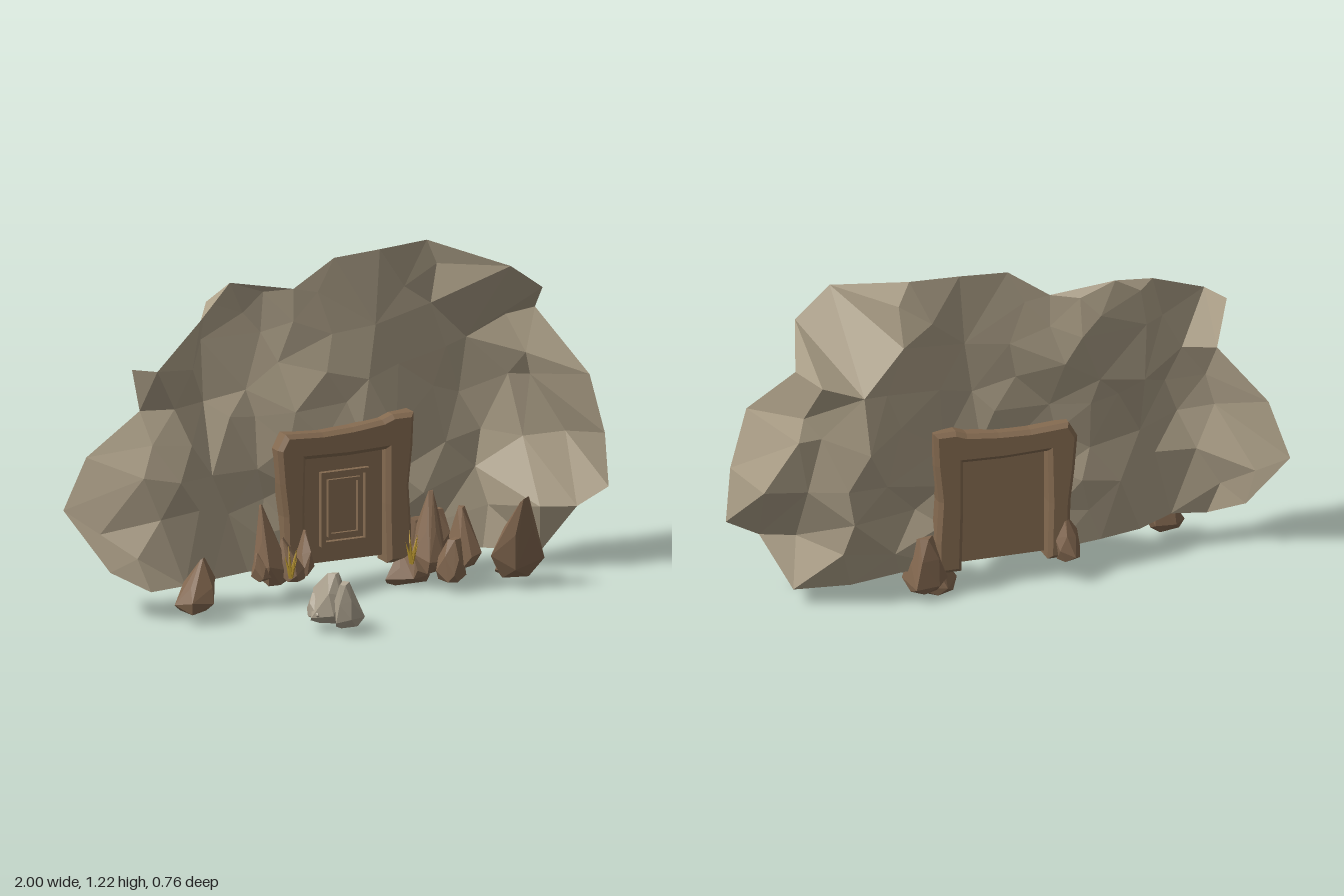
import * as THREE from 'three';
import { ConvexGeometry } from 'three/addons/geometries/ConvexGeometry.js';

const material = (name, color, extra = {}) =>
  Object.assign(new THREE.MeshStandardMaterial({ color, flatShading: true, ...extra }), { name });

// Small seeded generator, returns values in -1..1
function seeded(s) {
  return () => {
    s = (s * 1664525 + 1013904223) >>> 0;
    return (s / 4294967296) * 2 - 1;
  };
}

// Edge of the cliff (x, y, z), clockwise, with a notch for the doorway
const EDGE = [
  [-1, 0.38, -0.35], [-0.94, 0.58, -0.29], [-0.79, 0.76, -0.17], [-0.84, 0.925, -0.13], [-0.79, 0.935, -0.03],
  [-0.55, 1.06, -0.17], [-0.36, 1.14, -0.32], [-0.13, 1.1, -0.28], [0.02, 1.2, -0.26], [0.2, 1.21, -0.26],
  [0.39, 1.22, -0.27], [0.61, 1.15, -0.05], [0.75, 1.05, -0.08], [0.81, 0.93, -0.26], [0.92, 0.72, -0.05],
  [0.98, 0.5, -0.05], [1, 0.3, -0.06], [0.88, 0.24, -0.07], [0.79, 0.06, -0.18], [0.6, 0.08, -0.25],
  [0.42, 0.1, -0.25], [0.25, 0.1, -0.23], [0.25, 0.25, -0.23], [0.25, 0.4, -0.23], [0.25, 0.55, -0.23],
  [0.11, 0.55, -0.23], [-0.03, 0.55, -0.23], [-0.17, 0.55, -0.23], [-0.17, 0.4, -0.23], [-0.17, 0.25, -0.23],
  [-0.17, 0.1, -0.23], [-0.34, 0.11, -0.22], [-0.5, 0.11, -0.18], [-0.64, 0.12, -0.11], [-0.77, 0.11, -0.12],
  [-0.88, 0.17, -0.22],
];

// Sharp corners of the face: hollows, folds and the curled right side
const CORNERS = [
  [-0.48, 0.95, -0.31], [-0.48, 0.73, -0.29], [-0.3, 1.02, -0.34], [0.42, 0.98, -0.3], [0.74, 0.89, -0.35],
  [0.92, 0.47, -0.24], [0.57, 0.62, -0.38], [0.62, 0.35, -0.35], [0.76, 0.24, -0.12],
];

// Depth of the cliff face at stations across and up
const XS = [-1, -0.8, -0.62, -0.45, -0.25, -0.05, 0.35, 0.5, 0.62, 0.8, 0.9, 1];
const YS = [0.1, 0.4, 0.7, 1.0];
const DEPTH = [
  [-0.32, -0.12, -0.12, -0.2, -0.23, -0.23, -0.23, -0.27, -0.27, -0.18, -0.12, -0.08],
  [-0.35, -0.12, -0.09, -0.22, -0.25, -0.23, -0.23, -0.32, -0.36, -0.25, -0.2, -0.06],
  [-0.3, -0.12, -0.1, -0.26, -0.28, -0.23, -0.24, -0.33, -0.38, -0.31, -0.22, -0.05],
  [-0.2, -0.08, -0.14, -0.3, -0.34, -0.27, -0.27, -0.28, -0.27, -0.26, -0.2, -0.1],
];
function locate(stations, v) {
  let i = 0;
  while (i < stations.length - 2 && v > stations[i + 1]) i++;
  return [i, THREE.MathUtils.clamp((v - stations[i]) / (stations[i + 1] - stations[i]), 0, 1)];
}
function depthAt(x, y) {
  const [i, u] = locate(XS, x), [j, v] = locate(YS, y), { lerp } = THREE.MathUtils;
  return lerp(lerp(DEPTH[j][i], DEPTH[j][i + 1], u), lerp(DEPTH[j + 1][i], DEPTH[j + 1][i + 1], u), v);
}

function insideEdge(x, y) {
  let inside = false;
  EDGE.forEach(([ax, ay], i) => {
    const [bx, by] = EDGE[(i + 1) % EDGE.length];
    if (ay > y !== by > y && x < ax + ((y - ay) / (by - ay)) * (bx - ax)) inside = !inside;
  });
  return inside;
}

// Faceted sheet: scattered points joined into Delaunay triangles, trimmed to the edge
function cliffGeometry() {
  const rnd = seeded(7), fixed = [...EDGE, ...CORNERS], pts = [...fixed];
  for (let row = 0; row < 7; row++) {
    for (let col = 0; col < 13; col++) {
      const x = -0.98 + (col + (row % 2) * 0.5) * 0.16 + rnd() * 0.05;
      const y = 0.19 + row * 0.15 + rnd() * 0.045;
      const clear = fixed.every(([ex, ey]) => Math.hypot(ex - x, ey - y) > 0.085);
      if (clear && insideEdge(x, y)) pts.push([x, y, depthAt(x, y) + rnd() * 0.022]);
    }
  }
  const n = pts.length, index = [];
  const flat = pts.map(([x, y]) => [x + rnd() * 1e-4, y + rnd() * 1e-4]);
  for (let a = 0; a < n; a++) for (let b = a + 1; b < n; b++) for (let c = b + 1; c < n; c++) {
    const [ax, ay] = flat[a], [bx, by] = flat[b], [cx, cy] = flat[c];
    const d = 2 * (ax * (by - cy) + bx * (cy - ay) + cx * (ay - by));
    if (Math.abs(d) < 1e-5) continue;
    if (!insideEdge((ax + bx + cx) / 3, (ay + by + cy) / 3)) continue;
    const A = ax * ax + ay * ay, B = bx * bx + by * by, C = cx * cx + cy * cy;
    const ox = (A * (by - cy) + B * (cy - ay) + C * (ay - by)) / d;
    const oy = (A * (cx - bx) + B * (ax - cx) + C * (bx - ax)) / d;
    const r = Math.hypot(ax - ox, ay - oy) - 1e-9;
    if (flat.every(([x, y], k) => k === a || k === b || k === c || Math.hypot(x - ox, y - oy) >= r))
      index.push(...(d > 0 ? [a, b, c] : [a, c, b]));
  }
  const geo = new THREE.BufferGeometry();
  geo.setAttribute('position', new THREE.Float32BufferAttribute(pts.flat(), 3));
  geo.setIndex(index);
  geo.computeVertexNormals();
  return geo;
}

// Jagged stone: hull of shrinking rough rings that lean towards a peak
function rockGeometry([x, y, z], [w, h, d], [leanX, leanZ], seed, top = 0.15) {
  const rnd = seeded(seed * 977 + 13), pts = [];
  [[0, 0.75], [0.2, 1.05], [0.55, 0.75], [0.97, top]].forEach(([t, r], ring) => {
    for (let i = 0; i < 5; i++) {
      const a = ((i + ring * 0.5) / 5) * Math.PI * 2 + rnd() * 0.35, k = r * (1 + rnd() * 0.18) * 0.5;
      pts.push(new THREE.Vector3(x + Math.cos(a) * w * k + leanX * t,
        y + h * THREE.MathUtils.clamp(t + rnd() * 0.08, 0, 1), z + Math.sin(a) * d * k + leanZ * t));
    }
  });
  return new ConvexGeometry(pts);
}

const polygon = (points) => new THREE.Shape(points.map(([x, y]) => new THREE.Vector2(x, y)));
const rect = (x0, x1, y0, y1) => [[x0, y0], [x1, y0], [x1, y1], [x0, y1]];

export function createModel() {
  const model = new THREE.Group();
  const stone = material('cliff stone', 0xada088, { side: THREE.DoubleSide });
  const grey = material('pale stone', 0xaca28f);
  const brown = material('brown rock', 0x836850);
  const wood = material('door wood', 0x846a50);
  const gold = material('dry grass', 0xb8952f);
  const add = (name, geo, mat, parent = model) => {
    const mesh = new THREE.Mesh(geo, mat);
    mesh.name = name;
    parent.add(mesh);
    return mesh;
  };

  add('cliff', cliffGeometry(), stone);

  // Rough doorway surround
  const surround = polygon([
    [-0.19, 0.1], [-0.195, 0.3], [-0.21, 0.42], [-0.22, 0.54], [-0.195, 0.583], [-0.06, 0.575], [0.06, 0.58],
    [0.18, 0.593], [0.22, 0.608], [0.285, 0.608], [0.28, 0.5], [0.265, 0.36], [0.275, 0.2], [0.275, 0.1],
    [0.21, 0.1], [0.205, 0.3], [0.205, 0.515], [0.04, 0.51], [-0.14, 0.515], [-0.145, 0.3], [-0.14, 0.1]]);
  const surroundGeo = new THREE.ExtrudeGeometry(surround,
    { depth: 0.075, bevelThickness: 0.015, bevelSize: 0.015, bevelSegments: 1 });
  surroundGeo.translate(0, 0, -0.27);
  add('doorSurround', surroundGeo, wood);

  // Door slab with nested mouldings
  const door = new THREE.Group();
  door.name = 'door';
  model.add(door);
  const slab = new THREE.BoxGeometry(0.308, 0.39, 0.03);
  slab.translate(0.035, 0.305, -0.235);
  add('doorSlab', slab, wood, door);
  [[0.095, 0.135, 0.017, 0.022], [0.064, 0.104, 0.012, 0.014]].forEach(([hw, hh, t, depth], i) => {
    const ring = polygon(rect(0.035 - hw, 0.035 + hw, 0.305 - hh, 0.305 + hh));
    ring.holes.push(polygon(rect(0.035 - hw + t, 0.035 + hw - t, 0.305 - hh + t, 0.305 + hh - t)));
    const geo = new THREE.ExtrudeGeometry(ring, { depth, bevelEnabled: false });
    geo.translate(0, 0, -0.221);
    add('doorMoulding' + (i + 1), geo, wood, door);
  });

  // Brown rocks along the foot: base, size, lean, flat top
  [
    [[-0.63, 0.04, -0.045], [0.14, 0.19, 0.12], [0.03, -0.01]],
    [[-0.28, 0.08, -0.14], [0.12, 0.28, 0.1], [-0.03, -0.04]],
    [[-0.33, 0.1, -0.13], [0.07, 0.1, 0.08], [-0.02, 0]],
    [[-0.21, 0.09, -0.12], [0.1, 0.15, 0.09], [-0.03, -0.03]],
    [[-0.16, 0.09, -0.15], [0.06, 0.16, 0.1], [0.02, -0.02]],
    [[-0.2, 0.08, -0.27], [0.12, 0.17, 0.1], [0.01, 0]],
    [[0.28, 0.0, -0.21], [0.18, 0.13, 0.14], [0.02, 0], 0.5],
    [[0.33, 0.03, -0.26], [0.15, 0.2, 0.14], [0, 0], 0.4],
    [[0.32, 0.06, -0.11], [0.12, 0.28, 0.12], [0.03, -0.05]],
    [[0.37, 0.04, -0.04], [0.12, 0.15, 0.12], [0.01, 0], 0.4],
    [[0.43, 0.08, -0.05], [0.11, 0.21, 0.13], [0, -0.03], 0.3],
    [[0.38, 0.07, -0.17], [0.13, 0.2, 0.13], [0, 0], 0.3],
    [[0.61, 0.035, -0.03], [0.18, 0.315, 0.14], [-0.02, 0.13], 0.2],
    [[0.62, 0.04, -0.05], [0.16, 0.15, 0.16], [0.01, 0.02], 0.4],
  ].forEach(([base, size, lean, top], i) => add('footRock' + (i + 1), rockGeometry(base, size, lean, i + 1, top), brown));

  // Pale stones lying out in front
  [
    [[-0.25, 0.03, 0.24], [0.16, 0.19, 0.17], [0, 0.03], 0.25],
    [[-0.22, 0.025, 0.335], [0.11, 0.175, 0.08], [-0.03, 0.025], 0.35],
    [[-0.28, 0.04, 0.22], [0.11, 0.1, 0.13], [0, 0], 0.5],
  ].forEach(([base, size, lean, top], i) => add('looseStone' + (i + 1), rockGeometry(base, size, lean, i + 31, top), grey));

  // Tufts of dry grass
  [[-0.24, 0.11, -0.08], [0.245, 0.1, -0.1]].forEach(([x, y, z], t) => {
    const tuft = new THREE.Group();
    tuft.name = 'grassTuft' + (t + 1);
    tuft.position.set(x, y, z);
    for (let i = 0; i < 7; i++) {
      const h = 0.08 + (i % 3) * 0.02, geo = new THREE.ConeGeometry(0.009, h, 4);
      geo.translate(0, h / 2, 0);
      add('grassBlade', geo, gold, tuft).rotation.set(Math.sin(i * 0.9) * 0.3, 0, Math.cos(i * 0.9) * 0.3);
    }
    model.add(tuft);
  });
  return model;
}
